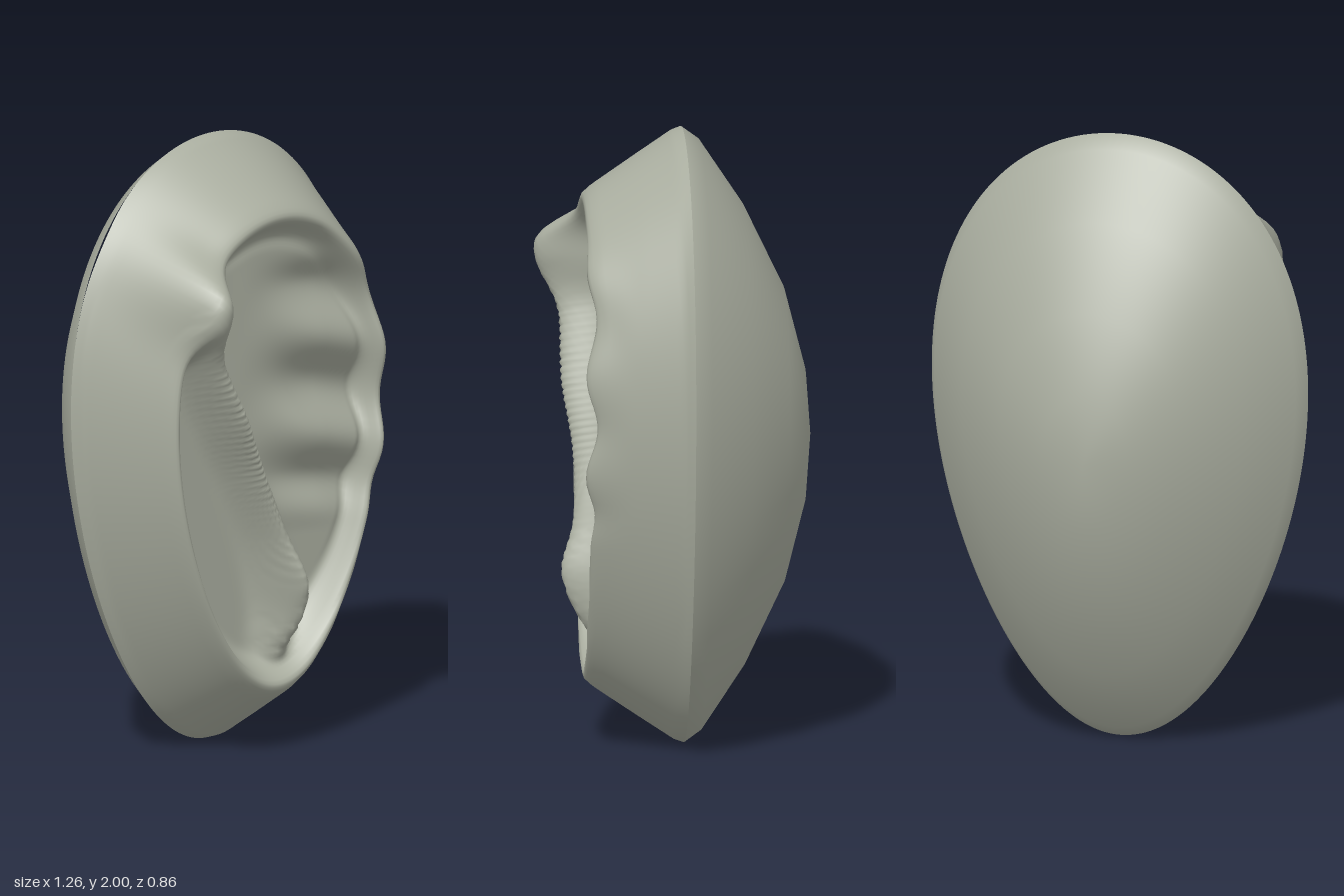
import * as THREE from 'three';

const { smoothstep, lerp } = THREE.MathUtils;
const SEGMENTS = 180;

// Egg outline scaled by r about (0, 1)
const egg = (t, r) => [
  0.62 * r * Math.cos(t) * (1 + 0.2 * Math.sin(t)),
  1 + r * Math.sin(t),
];

// Linear lookup in a list of [position, value] pairs
function lookup(points, p) {
  if (p <= points[0][0]) return points[0][1];
  for (let i = 1; i < points.length; i++) {
    const [a, va] = points[i - 1], [b, vb] = points[i];
    if (p <= b) return lerp(va, vb, (p - a) / (b - a));
  }
  return points[points.length - 1][1];
}

// Closed-centre surface made of egg-shaped rings; height(t, r, x, y) gives z
function eggSurface(radii, height, facesBack) {
  const positions = [0, 1, height(0, 0, 0, 1)], index = [];
  radii.forEach((r) => {
    for (let j = 0; j < SEGMENTS; j++) {
      const t = (j / SEGMENTS) * Math.PI * 2;
      const [x, y] = egg(t, r);
      positions.push(x, y, height(t, r, x, y));
    }
  });
  const tri = (a, b, c) => (facesBack ? index.push(a, c, b) : index.push(a, b, c));
  for (let j = 0; j < SEGMENTS; j++) {
    const k = (j + 1) % SEGMENTS;
    tri(0, 1 + j, 1 + k);
    for (let i = 1; i < radii.length; i++) {
      const inner = 1 + (i - 1) * SEGMENTS, outer = inner + SEGMENTS;
      tri(inner + j, outer + j, outer + k);
      tri(inner + j, outer + k, inner + k);
    }
  }
  const g = new THREE.BufferGeometry();
  g.setAttribute('position', new THREE.Float32BufferAttribute(positions, 3));
  g.setIndex(index);
  g.computeVertexNormals();
  return g;
}

// Diagonal ridge: x, y and crest height along its length
const ridge = new THREE.CatmullRomCurve3([
  [-0.37, 1.5, 0.38], [-0.33, 1.38, 0.36], [-0.21, 1.15, 0.36], [-0.1, 0.94, 0.33],
  [0, 0.72, 0.335], [0.05, 0.57, 0.375], [0.065, 0.45, 0.335], [0.05, 0.33, 0.26],
].map((p) => new THREE.Vector3(...p))).getPoints(70);

// Cross-section of the outer wall, rolled rim and hollow, relative to the rim radius
const wall = [
  [-0.13, 0], [-0.09, 0.02], [-0.05, 0.065], [-0.02, 0.1], [0, 0.11], [0.02, 0.1],
  [0.05, 0.055], [0.12, -0.055], [0.19, -0.165], [0.22, -0.205], [0.25, -0.22],
];

function frontHeight(t, r, x, y) {
  const rim = 0.735 + 0.035 * Math.sin(t) ** 2;
  const d = r - rim;
  const inside = 1 - smoothstep(d, -0.12, 0);
  const rimFade = 1 - smoothstep(d, 0, 0.12);

  // Flat hollow, a little raised on the +x side
  const floor = 0.185 + 0.05 * smoothstep(x + (y - 1) * 0.47, -0.1, 0.2);
  let z;
  if (d > 0) {
    z = lookup([[0, 0.305], [0.02, 0.298], [0.045, 0.27], [0.14, 0.13],
      [0.22, 0.01], [1 - rim, -0.02]], d);
  } else {
    z = lerp(lookup(wall, d) + 0.195, floor, inside);
  }

  // Slanting folds running out to the +x rim
  const u = y + 0.27 * (x - 0.45);
  const fold = smoothstep(x, -0.1, 0.25) * smoothstep(y, 0.68, 0.9) * (1 - smoothstep(y, 1.5, 1.72));
  z += fold * rimFade * lerp(0.018, 0.035, inside) * Math.cos(((u - 1.28) / 0.33) * Math.PI * 2);

  // Diagonal ridge
  if (d < 0.05) {
    let best = Infinity, crest = 0;
    for (const p of ridge) {
      const q = (p.x - x) ** 2 + (p.y - y) ** 2;
      if (q < best) { best = q; crest = p.z; }
    }
    z += Math.max(0, crest - z) * Math.exp(-best / 0.0034);
  }

  // Knob on the upper -x rim
  const knob = ((x + 0.365) / 0.085) ** 2 + ((y - 1.55) / 0.125) ** 2;
  z += Math.max(0, 0.435 - z) * Math.exp(-knob);
  return z;
}

// Domed back profile
const dome = [[0, -0.43], [0.22, -0.412], [0.48, -0.345], [0.75, -0.215], [0.96, -0.075], [1, -0.02]];

export function createModel() {
  const group = new THREE.Group();
  const material = new THREE.MeshStandardMaterial({ color: 0xa9ad9f });
  const add = (name, geometry) => {
    const mesh = new THREE.Mesh(geometry, material);
    mesh.name = name;
    group.add(mesh);
  };
  const rings = Array.from({ length: 90 }, (_, i) => (i + 1) / 90);
  add('earFront', eggSurface(rings, frontHeight, false));
  add('domedBack', eggSurface(dome.slice(1).map((p) => p[0]), (t, r) => lookup(dome, r), true));
  return group;
}
